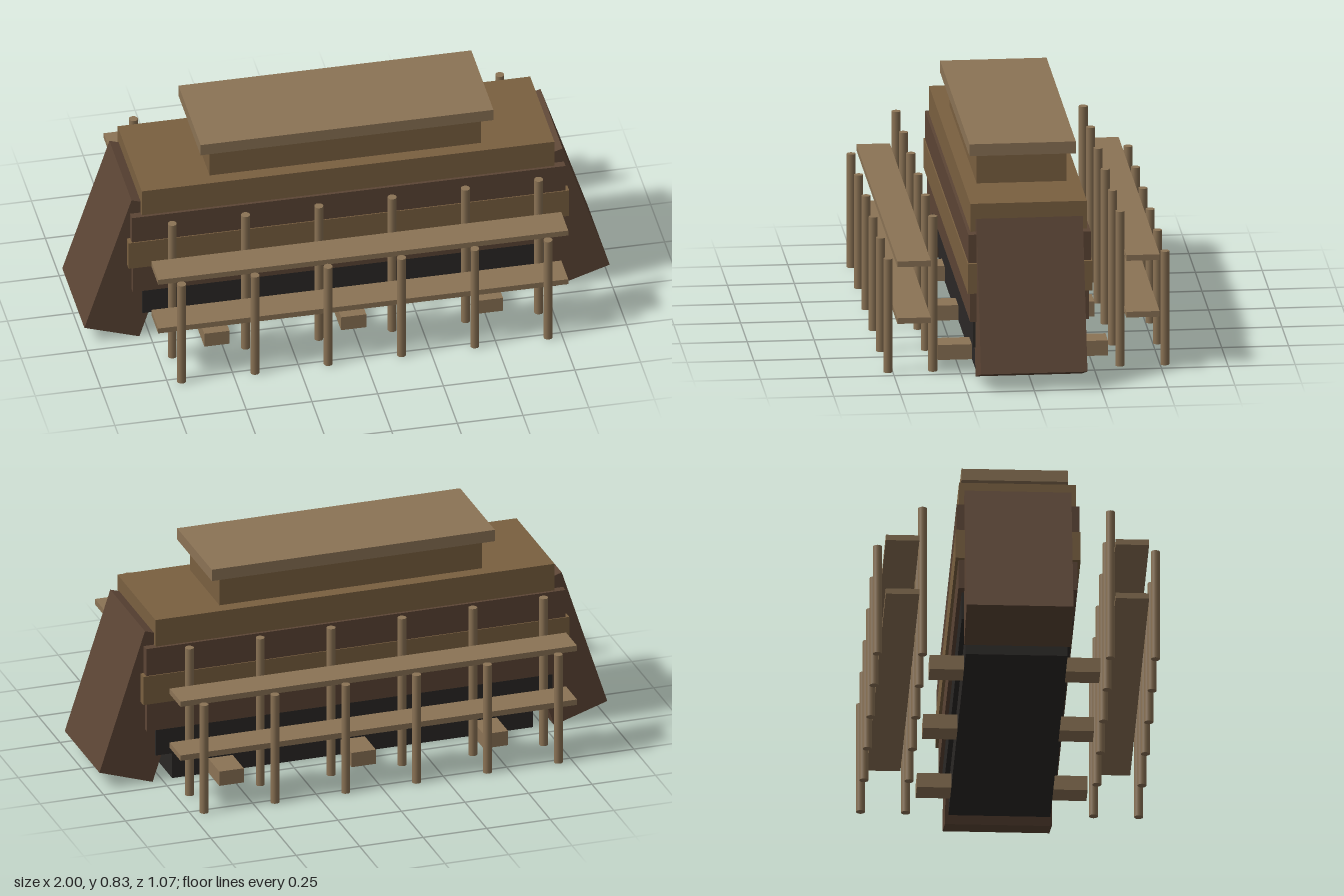
import * as THREE from 'three';

const paint = (color) => new THREE.MeshStandardMaterial({ color });
const LIGHT = paint(0x8b7355);
const TAN = paint(0x7a6040);
const BROWN = paint(0x5c4535);
const DARK = paint(0x2b2826);

export function createModel() {
  const model = new THREE.Group();
  model.name = 'ship';

  const box = (name, mat, w, h, d, x, y, z) => {
    const mesh = new THREE.Mesh(new THREE.BoxGeometry(w, h, d), mat);
    mesh.name = name;
    mesh.position.set(x, y, z);
    model.add(mesh);
    return mesh;
  };

  // Stacked hull, cabin and roof: name, material, half length, half depth, bottom, top
  const layers = [
    ['keel', DARK, 0.71, 0.19, 0, 0.11],
    ['lowerHull', DARK, 0.78, 0.208, 0.11, 0.22],
    ['hullPlankLow', BROWN, 0.82, 0.222, 0.22, 0.335],
    ['hullPlankMiddle', TAN, 0.838, 0.233, 0.335, 0.45],
    ['hullPlankHigh', BROWN, 0.825, 0.229, 0.45, 0.56],
    ['upperDeck', TAN, 0.785, 0.218, 0.56, 0.668],
    ['cabin', TAN, 0.516, 0.168, 0.668, 0.786],
    ['roof', LIGHT, 0.557, 0.199, 0.786, 0.832],
  ];
  for (const [name, mat, hx, hz, y0, y1] of layers) {
    box(name, mat, 2 * hx, y1 - y0, 2 * hz, 0, (y0 + y1) / 2, 0);
  }

  // Slanted bow and stern blocks
  for (const side of [-1, 1]) {
    const end = box(side > 0 ? 'leftEnd' : 'rightEnd', BROWN, 0.22, 0.58, 0.398, side * 0.805, 0.31, 0);
    end.rotation.z = side * Math.PI / 10;
  }

  // Support beams running across under the keel
  for (const x of [-0.52, 0, 0.52]) {
    box('supportBeam', LIGHT, 0.096, 0.058, 0.636, x, 0.031, 0);
  }

  // Scaffolding on both long sides
  const addPost = (name, height, x, z) => {
    const post = new THREE.Mesh(new THREE.CylinderGeometry(0.017, 0.017, height, 12), LIGHT);
    post.name = name;
    post.position.set(x, height / 2, z);
    model.add(post);
  };
  for (const side of [-1, 1]) {
    for (const y of [0.22, 0.44]) {
      box('scaffoldPlatform', LIGHT, 1.56, 0.022, 0.125, 0, y, side * 0.428);
    }
    for (let i = 0; i < 6; i++) {
      const x = -0.697 + i * 0.2788;
      addPost('innerPost', 0.6, x, side * 0.35);
      addPost('outerPost', 0.44, x, side * 0.518);
    }
  }

  return model;
}
